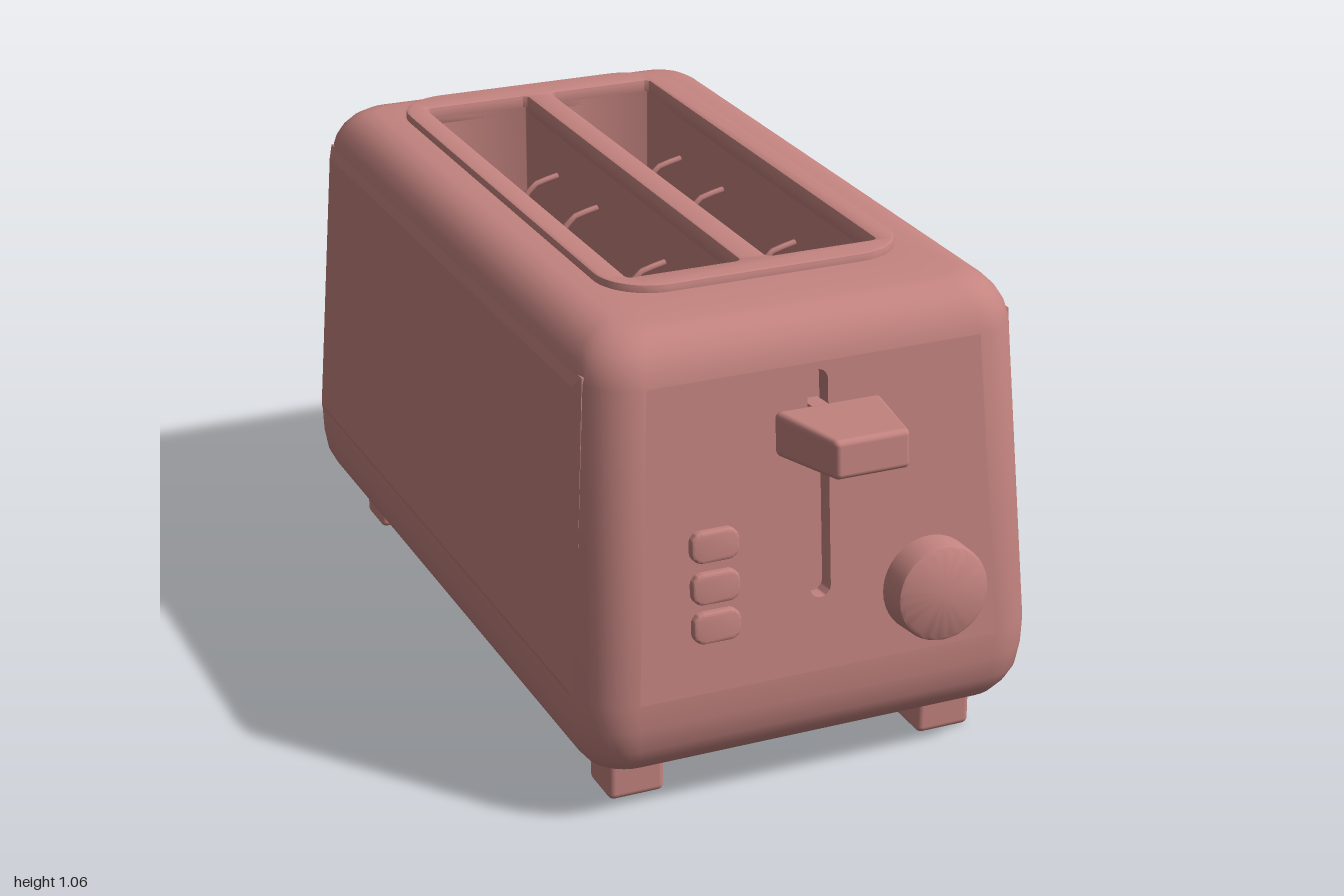
import * as THREE from 'three';
import { toCreasedNormals } from 'three/addons/utils/BufferGeometryUtils.js';
import { RoundedBoxGeometry } from 'three/addons/geometries/RoundedBoxGeometry.js';

const material = new THREE.MeshStandardMaterial({ color: 0xc48480 });
const BODY_Z = -0.1;

function add(parent, name, geometry, x = 0, y = 0, z = 0) {
  const mesh = new THREE.Mesh(geometry, material);
  mesh.name = name;
  mesh.position.set(x, y, z);
  parent.add(mesh);
  return mesh;
}

// Rounded rectangle as a Shape or Path
function roundRect(hx, hy, r, cx = 0, cy = 0, Type = THREE.Shape) {
  const s = new Type();
  s.absarc(cx + hx - r, cy + hy - r, r, 0, Math.PI / 2);
  s.absarc(cx - hx + r, cy + hy - r, r, Math.PI / 2, Math.PI);
  s.absarc(cx - hx + r, cy - hy + r, r, Math.PI, Math.PI * 1.5);
  s.absarc(cx + hx - r, cy - hy + r, r, Math.PI * 1.5, Math.PI * 2);
  s.closePath();
  return s;
}

// Skin over rounded-rectangle rings { y, hx, hz, r, cz }; rings going down face inward
function loft(rings, cap, skipFrontRing = -1) {
  const n = 8, count = 4 * (n + 1), pos = [], index = [];
  for (const { y, hx, hz, r, cz = 0 } of rings) {
    for (let q = 0; q < 4; q++) {
      const sx = q === 0 || q === 3 ? 1 : -1, sz = q < 2 ? 1 : -1;
      for (let k = 0; k <= n; k++) {
        const a = (q + k / n) * Math.PI / 2;
        pos.push(sx * (hx - r) + r * Math.cos(a), y, cz + sz * (hz - r) + r * Math.sin(a));
      }
    }
  }
  for (let i = 0; i < rings.length - 1; i++) {
    for (let j = 0; j < count; j++) {
      if (i === skipFrontRing && j === n) continue;
      const a = i * count + j, b = i * count + (j + 1) % count;
      index.push(a, a + count, b + count, a, b + count, b);
    }
  }
  const end = cap === 'end' ? rings.length - 1 : 0, centre = pos.length / 3;
  pos.push(0, rings[end].y, rings[end].cz ?? 0);
  for (let j = 0; j < count; j++) {
    const a = end * count + j, b = end * count + (j + 1) % count;
    index.push(centre, ...(cap === 'end' ? [b, a] : [a, b]));
  }
  const g = new THREE.BufferGeometry();
  g.setAttribute('position', new THREE.Float32BufferAttribute(pos, 3));
  g.setIndex(index);
  return toCreasedNormals(g, 0.7);
}

export function createModel() {
  const model = new THREE.Group();
  model.name = 'toaster';

  // Tapered housing: height and inset of each ring
  const profile = [[0.095, 0.09], [0.115, 0.045], [0.14, 0.025], [0.17, 0.01], [0.22, 0.002], [0.28, 0],
    [0.94, 0], [0.975, 0.01], [1.0, 0.025], [1.02, 0.045], [1.034, 0.07], [1.04, 0.1]];
  const rings = profile.map(([y, d]) => {
    const t = THREE.MathUtils.clamp((y - 0.28) / 0.66, 0, 1);
    return { y, hx: 0.513 - 0.037 * t - d, hz: 0.9 - 0.05 * t - d, r: 0.11 - 0.6 * d };
  });
  rings.push({ y: 1.04, hx: 0.325, hz: 0.67, r: 0.1, cz: -0.055 });
  add(model, 'housing', loft(rings, 'start', 5), 0, 0, BODY_Z);

  // Raised rim with two bread slots
  const rimShape = roundRect(0.333, 0.675, 0.12);
  for (const s of [-1, 1]) rimShape.holes.push(roundRect(0.125, 0.597, 0.012, s * 0.155, -0.01, THREE.Path));
  const rim = add(model, 'slotRim', toCreasedNormals(new THREE.ExtrudeGeometry(rimShape, {
    depth: 0.035, bevelThickness: 0.006, bevelSize: 0.006, bevelOffset: -0.006, bevelSegments: 2, curveSegments: 8,
  }), 0.7), 0, 1.016, -0.155);
  rim.rotation.x = -Math.PI / 2;

  // Slot wells with bowed bread guides
  for (const s of [-1, 1]) {
    const well = { hx: 0.125, hz: 0.597, r: 0.012 };
    add(model, 'slotWell', loft([{ y: 1.03, ...well }, { y: 0.2, ...well }], 'end'), s * 0.155, 0, -0.145);
    for (const z of [-0.55, -0.31, 0.07, 0.32]) {
      for (const side of [-1, 1]) {
        const points = [[0.125, 0.92], [0.06, 0.9], [0.03, 0.84], [0.03, 0.6], [0.03, 0.34], [0.06, 0.27], [0.125, 0.25]]
          .map(([x, y]) => new THREE.Vector3(side * x, y, 0));
        const wire = new THREE.TubeGeometry(new THREE.CatmullRomCurve3(points), 28, 0.007, 6);
        add(model, 'breadGuide', wire, s * 0.155, 0, z);
      }
      add(model, 'breadRest', new THREE.BoxGeometry(0.25, 0.014, 0.012), s * 0.155, 0.3, z);
    }
  }

  // Raised side panels with chamfered edges
  const panelShape = new THREE.Shape([[-0.815, 0], [0.815, 0], [0.775, 0.685], [-0.775, 0.685]]
    .map(([x, y]) => new THREE.Vector2(x, y)));
  const panelGeometry = new THREE.ExtrudeGeometry(panelShape, {
    depth: 0.012, bevelThickness: 0.012, bevelSize: 0.025, bevelOffset: -0.025, bevelSegments: 1,
  });
  for (const s of [-1, 1]) {
    const side = new THREE.Group();
    side.name = s > 0 ? 'leftPanel' : 'rightPanel';
    side.position.set(s * 0.497, 0.27, BODY_Z);
    side.rotation.set(-0.056, s * Math.PI / 2, 0, 'YXZ');
    add(side, 'panel', panelGeometry);
    model.add(side);
  }

  // Front controls share the slope of the front face
  const front = new THREE.Group();
  front.name = 'frontControls';
  front.position.set(0, 0.28, 0.8);
  front.rotation.x = -Math.atan2(0.05, 0.66);
  model.add(front);

  // Front face with the lever track cut through it
  const h = Math.hypot(0.66, 0.05);
  const face = new THREE.Shape([[-0.403, 0], [0.403, 0], [0.366, h], [-0.366, h]]
    .map(([x, y]) => new THREE.Vector2(x, y)));
  face.holes.push(roundRect(0.023, 0.243, 0.0229, 0, 0.403, THREE.Path));
  add(front, 'frontFace', new THREE.ShapeGeometry(face, 8));
  const track = loft([{ y: 0, hx: 0.023, hz: 0.243, r: 0.0229 }, { y: -0.04, hx: 0.023, hz: 0.243, r: 0.0229 }], 'end');
  add(front, 'leverTrack', track, 0, 0.403, 0).rotation.x = Math.PI / 2;

  // Lever with a tapered handle
  add(front, 'leverStem', new THREE.BoxGeometry(0.036, 0.04, 0.1), 0, 0.555, 0.01);
  const handle = new RoundedBoxGeometry(0.236, 0.094, 0.205, 3, 0.014);
  const p = handle.attributes.position;
  for (let i = 0; i < p.count; i++) {
    const t = p.getZ(i) / 0.205 + 0.5;
    p.setX(i, p.getX(i) * (1 - 0.33 * t));
    p.setY(i, p.getY(i) * (1 - 0.15 * t));
  }
  add(front, 'leverHandle', handle, 0, 0.544, 0.142);

  // Three push buttons
  const button = toCreasedNormals(new THREE.ExtrudeGeometry(roundRect(0.052, 0.033, 0.024), {
    depth: 0.02, bevelThickness: 0.006, bevelSize: 0.006, bevelOffset: -0.006, bevelSegments: 3, curveSegments: 6,
  }), 0.7);
  for (const y of [0.32, 0.231, 0.147]) add(front, 'button', button, -0.236, y, -0.008);

  // Browning knob on a short neck
  const knobProfile = [[0, 0], [0.085, 0], [0.085, 0.022], [0.1, 0.022], [0.105, 0.028],
    [0.103, 0.085], [0.1, 0.093], [0.092, 0.098], [0, 0.098]].map(([x, y]) => new THREE.Vector2(x, y));
  const knob = toCreasedNormals(new THREE.LatheGeometry(knobProfile, 40), 0.6);
  add(front, 'browningKnob', knob, 0.232, 0.156, 0).rotation.x = Math.PI / 2;

  // Feet
  const foot = new RoundedBoxGeometry(0.124, 0.12, 0.112, 3, 0.014);
  for (const x of [-0.357, 0.357]) for (const z of [0.62, -0.815]) add(model, 'foot', foot, x, 0.06, z);

  return model;
}
